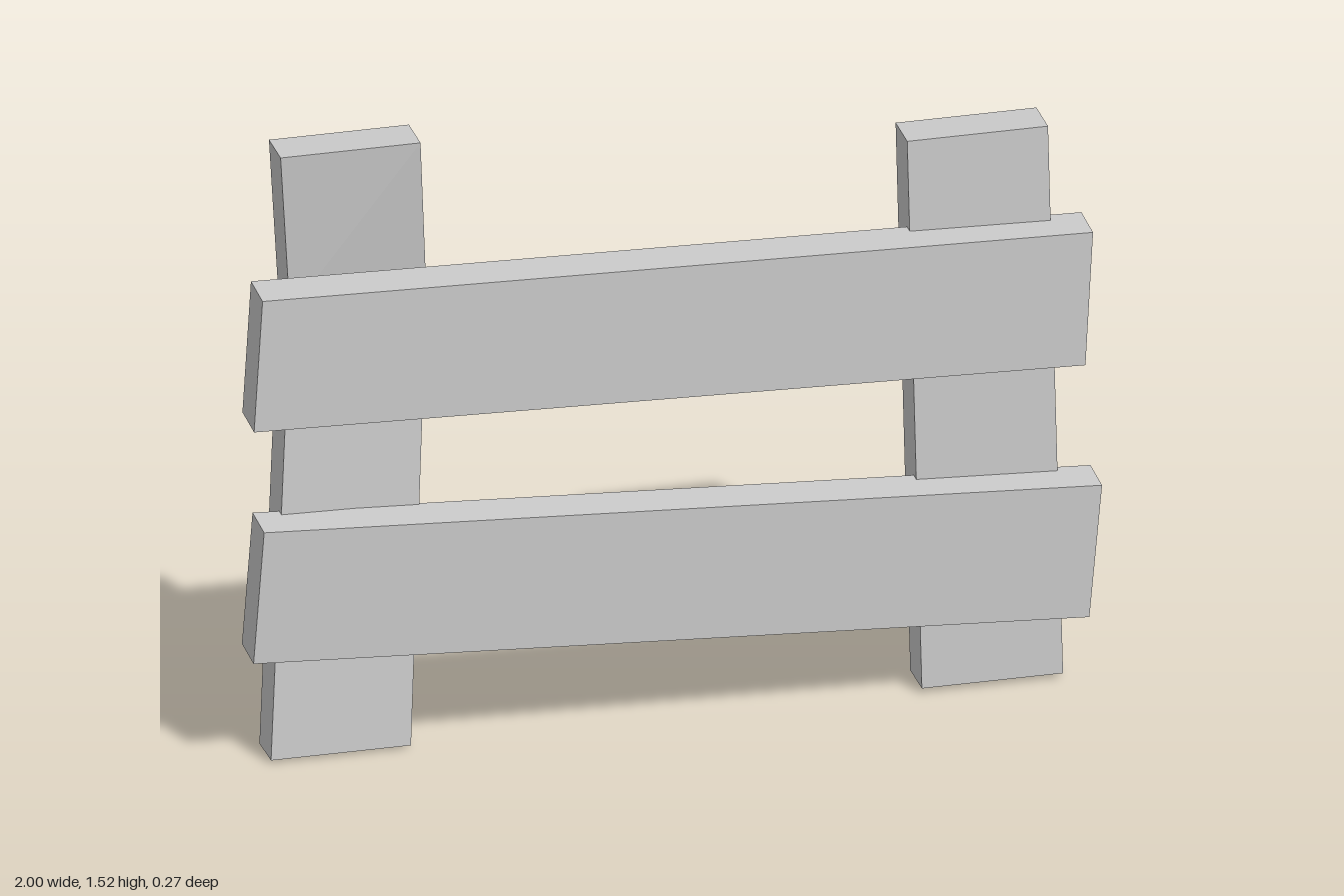
import * as THREE from 'three';

const material = new THREE.MeshStandardMaterial({ color: 0xcccccc, flatShading: true, side: THREE.DoubleSide });

// Lofts a board through four-cornered sections (counterclockwise seen from the far end)
function board(name, sections) {
  const positions = [];
  const quad = (a, b, c, d) => positions.push(...a, ...b, ...c, ...a, ...c, ...d);
  for (let s = 0; s < sections.length - 1; s++) {
    const p = sections[s], q = sections[s + 1];
    for (let i = 0; i < 4; i++) {
      const j = (i + 1) % 4;
      quad(p[i], p[j], q[j], q[i]);
    }
  }
  const first = sections[0], last = sections[sections.length - 1];
  quad(first[3], first[2], first[1], first[0]);
  quad(...last);
  const geometry = new THREE.BufferGeometry();
  geometry.setAttribute('position', new THREE.Float32BufferAttribute(positions, 3));
  geometry.computeVertexNormals();
  const mesh = new THREE.Mesh(geometry, material);
  mesh.name = name;
  return mesh;
}

const THICK = 0.11;

// Post section: x range, front and back heights, back z, and sideways twist of the depth
const postSection = (x0, x1, yFront, yBack, zBack, twist = 0) => [
  [x0, yFront, zBack + THICK + twist],
  [x1, yFront, zBack + THICK - twist],
  [x1, yBack, zBack - twist],
  [x0, yBack, zBack + twist],
];

// Rail end: bottom and top corners in the front plane, and back z
const railSection = (xBottom, yBottom, xTop, yTop, zBack) => [
  [xBottom, yBottom, zBack + THICK],
  [xBottom, yBottom, zBack],
  [xTop, yTop, zBack],
  [xTop, yTop, zBack + THICK],
];

export function createModel() {
  const fence = new THREE.Group();
  fence.name = 'brokenFence';

  // Tall bent post and short straight post
  fence.add(board('rightPost', [
    postSection(-0.94, -0.61, 0.008, 0, -0.055),
    postSection(-0.88, -0.553, 1.11, 1.11, -0.127, 0.01),
    postSection(-0.91, -0.58, 1.52, 1.515, -0.085),
  ]));
  fence.add(board('leftPost', [
    postSection(0.595, 0.928, 0.012, 0.007, -0.055),
    postSection(0.568, 0.9, 1.39, 1.386, -0.085),
  ]));

  // Two crooked rails nailed across the front
  fence.add(board('upperRail', [
    railSection(-1, 0.885, -0.98, 1.215, 0.025),
    railSection(0.967, 0.815, 0.985, 1.15, 0),
  ]));
  fence.add(board('lowerRail', [
    railSection(-0.995, 0.285, -0.97, 0.615, 0),
    railSection(0.97, 0.187, 1, 0.518, 0.025),
  ]));

  return fence;
}
